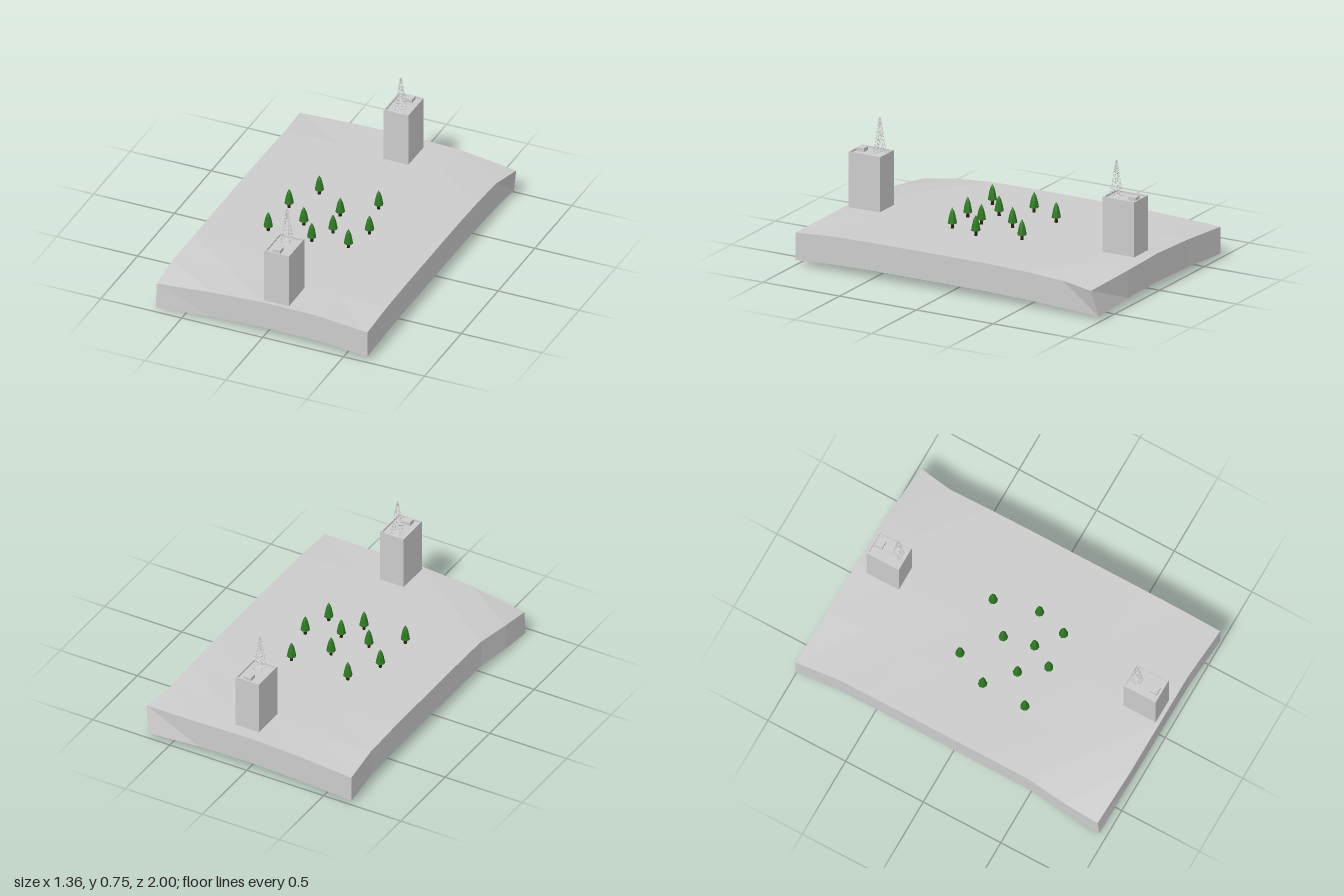
import * as THREE from 'three';
import { mergeGeometries } from 'three/addons/utils/BufferGeometryUtils.js';

const material = (color, extra = {}) => new THREE.MeshStandardMaterial({ color, flatShading: true, ...extra });
const grey = material(0xcccccc);
const bark = material(0x2b1a12);
const leaf = material(0x2c7a20);

function addMesh(parent, name, geometry, mat, x = 0, y = 0, z = 0) {
  const mesh = new THREE.Mesh(geometry, mat);
  mesh.name = name;
  mesh.position.set(x, y, z);
  parent.add(mesh);
  return mesh;
}

// Ground slab: a gently bent 4 x 8 sheet of cells, closed by walls and an underside
function slabGeometry() {
  const xs = [-0.66, -0.33, 0, 0.32, 0.645];
  const zs = [-0.985, -0.75, -0.5, -0.25, 0, 0.25, 0.49, 0.73, 0.97];
  const flat = [0.216, 0.216, 0.216, 0.216, 0.216];
  const heights = [
    [0.185, 0.205, 0.215, 0.205, 0.178],
    [0.205, 0.213, 0.216, 0.213, 0.195],
    [0.214, 0.215, 0.216, 0.215, 0.209],
    flat, flat, flat,
    [0.213, 0.215, 0.216, 0.216, 0.216],
    [0.187, 0.210, 0.216, 0.215, 0.212],
    [0.150, 0.193, 0.212, 0.210, 0.195],
  ];
  const backZ = [-1, -0.99, -0.985, -0.983, -0.95];
  const frontZ = [0.945, 0.965, 0.97, 0.972, 0.995];
  const nx = xs.length, nz = zs.length, pos = [], index = [];
  for (const under of [false, true]) {
    for (let j = 0; j < nz; j++) for (let i = 0; i < nx; i++) {
      let x = xs[i], z = zs[j];
      if (j === 0) z = backZ[i];
      if (j === nz - 1) z = frontZ[i];
      if (i === 0 && (j === 0 || j >= nz - 2)) x = -0.68;
      if (i === nx - 1 && j === 0) { x = under ? 0.65 : 0.68; z = under ? -0.985 : -0.95; }
      if (under && i === 0 && j === nz - 1) z = 0.957;
      const top = heights[j][i];
      pos.push(x, under ? 0.05 - (0.216 - top) * 0.76 : top, z);
    }
  }
  const n = nx * nz;
  const quad = (a, b, c, d) => index.push(a, b, c, a, c, d);
  for (let j = 0; j < nz - 1; j++) for (let i = 0; i < nx - 1; i++) {
    const a = j * nx + i, b = a + nx;
    quad(a, b, b + 1, a + 1);
    quad(n + a, n + a + 1, n + b + 1, n + b);
  }
  const wall = (a, b) => quad(a, n + a, n + b, b);
  for (let i = 0; i < nx - 1; i++) {
    wall((nz - 1) * nx + i, (nz - 1) * nx + i + 1);
    wall(i + 1, i);
  }
  for (let j = 0; j < nz - 1; j++) {
    wall(j * nx, (j + 1) * nx);
    wall((j + 2) * nx - 1, (j + 1) * nx - 1);
  }
  const g = new THREE.BufferGeometry();
  g.setAttribute('position', new THREE.Float32BufferAttribute(pos, 3));
  g.setIndex(index);
  const out = g.toNonIndexed();
  out.computeVertexNormals();
  return out;
}

// Thin bar between two points
function bar(a, b, r) {
  const dir = b.clone().sub(a);
  const g = new THREE.CylinderGeometry(r, r, dir.length(), 4);
  g.applyQuaternion(new THREE.Quaternion().setFromUnitVectors(new THREE.Vector3(0, 1, 0), dir.normalize()));
  const mid = a.clone().add(b).multiplyScalar(0.5);
  return g.translate(mid.x, mid.y, mid.z);
}

// Tapering lattice mast with rings and crossed braces
function mastGeometry(height = 0.215, levels = 9) {
  const bars = [];
  const corner = (level, k) => {
    const t = level / levels, w = 0.027 * (1 - t) + 0.003 * t;
    return new THREE.Vector3(k === 0 || k === 3 ? -w : w, height * t, k < 2 ? -w : w);
  };
  for (let l = 0; l < levels; l++) for (let k = 0; k < 4; k++) {
    const next = (k + 1) % 4;
    bars.push(bar(corner(l, k), corner(l + 1, k), 0.001));
    bars.push(bar(corner(l, k), corner(l, next), 0.0007));
    bars.push(bar(corner(l, k), corner(l + 1, next), 0.0007));
    bars.push(bar(corner(l, next), corner(l + 1, k), 0.0007));
  }
  return mergeGeometries(bars);
}

const rectangle = (Path, w, d) => new Path([
  new THREE.Vector2(-w / 2, -d / 2), new THREE.Vector2(w / 2, -d / 2),
  new THREE.Vector2(w / 2, d / 2), new THREE.Vector2(-w / 2, d / 2),
]);

// Tower block with parapet, roof hut and mast
function makeTower(mast) {
  const tower = new THREE.Group();
  tower.name = 'tower';
  const w = 0.153, d = 0.208, base = 0.185, roof = 0.53, top = 0.54;
  addMesh(tower, 'towerBlock', new THREE.BoxGeometry(w, roof - base, d), grey, 0, (roof + base) / 2, 0);
  const rim = rectangle(THREE.Shape, w, d);
  rim.holes.push(rectangle(THREE.Path, w - 0.018, d - 0.018));
  const parapet = new THREE.ExtrudeGeometry(rim, { depth: top - roof, bevelEnabled: false });
  addMesh(tower, 'parapet', parapet.rotateX(-Math.PI / 2), grey, 0, roof, 0);
  addMesh(tower, 'roofHut', new THREE.BoxGeometry(0.047, 0.021, 0.047), grey, 0.01, roof + 0.0105, -0.063);
  addMesh(tower, 'mast', mast, grey, 0.007, roof, 0.053);
  return tower;
}

export function createModel() {
  const model = new THREE.Group();
  model.name = 'landscapeWithTowers';
  addMesh(model, 'groundSlab', slabGeometry(), grey);

  // Two towers facing each other
  const mast = mastGeometry();
  const backTower = makeTower(mast);
  backTower.name = 'backTower';
  backTower.position.set(0.05, 0, -0.805);
  const frontTower = makeTower(mast);
  frontTower.name = 'frontTower';
  frontTower.position.set(0.062, 0, 0.843);
  frontTower.rotation.y = Math.PI;
  model.add(backTower, frontTower);

  // Grove of fir trees
  const trunk = new THREE.CylinderGeometry(0.007, 0.01, 0.045, 7);
  const crown = new THREE.LatheGeometry([
    [0, 0], [0.027, 0.002], [0.019, 0.045], [0.012, 0.07], [0, 0.093],
  ].map(([r, y]) => new THREE.Vector2(r, y)), 8);
  const spots = [
    [-0.2, -0.21], [0.17, -0.203], [-0.296, -0.01], [0.004, -0.045], [0.233, 0.061],
    [-0.142, 0.128], [0.042, 0.136], [-0.3, 0.264], [-0.03, 0.267], [0.185, 0.242],
  ];
  spots.forEach(([x, z], i) => {
    const tree = new THREE.Group();
    tree.name = 'tree';
    tree.position.set(x, 0.213, z);
    tree.rotation.y = i * 0.7;
    addMesh(tree, 'trunk', trunk, bark, 0, 0.0225, 0);
    addMesh(tree, 'crown', crown, leaf, 0, 0.031, 0);
    model.add(tree);
  });
  return model;
}
